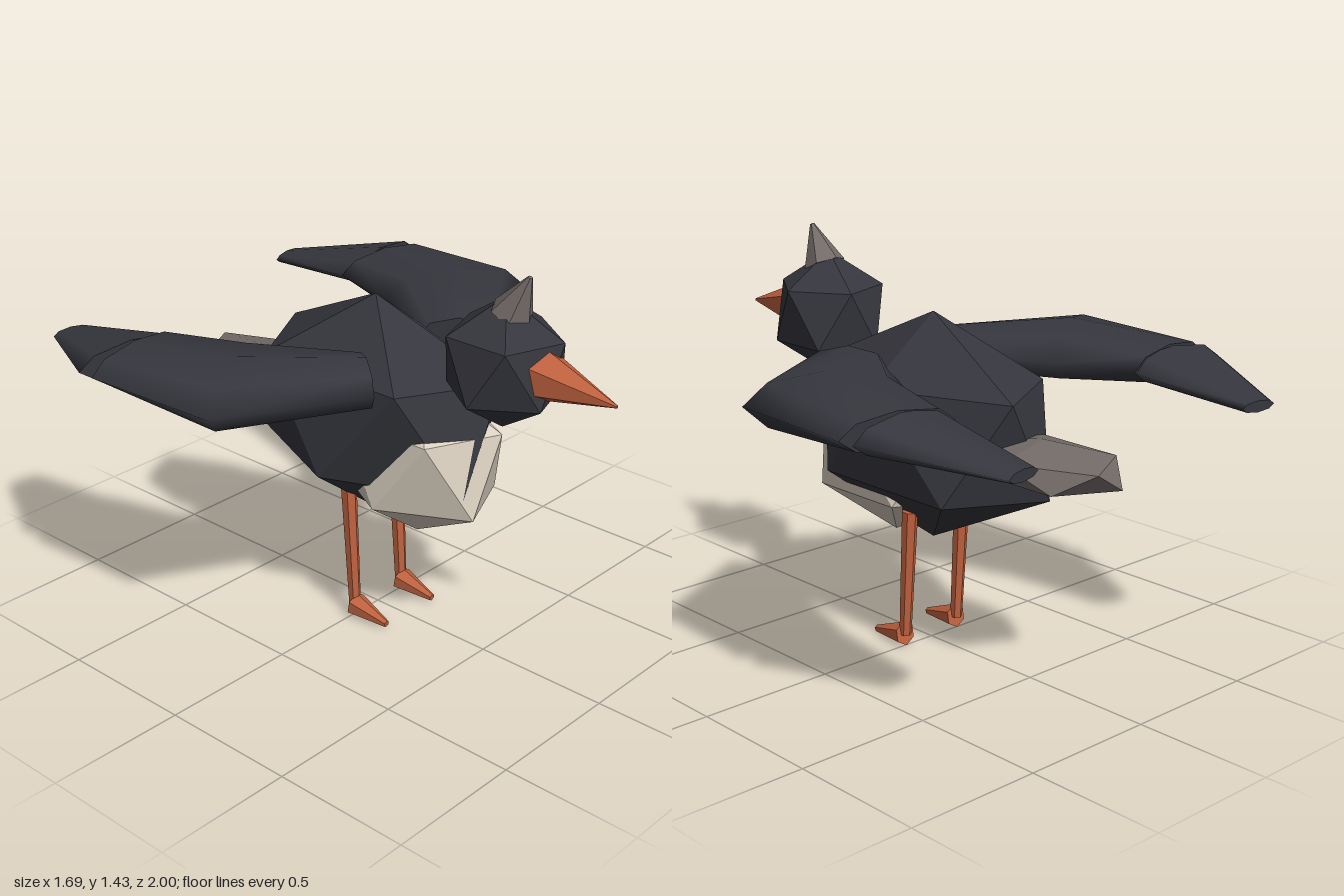
import * as THREE from 'three';
import { ConvexGeometry } from 'three/addons/geometries/ConvexGeometry.js';

const V = (x, y, z) => new THREE.Vector3(x, y, z);

function material(name, color) {
  const m = new THREE.MeshStandardMaterial({ color });
  m.name = name;
  return m;
}

function flat(geometry) {
  const g = geometry.toNonIndexed();
  g.computeVertexNormals();
  return g;
}

// Twenty-sided ball standing on a corner, stretched to three radii
function facetedBall(rx, ry, rz) {
  const pts = [V(0, ry, 0), V(0, -ry, 0)];
  const h = 1 / Math.sqrt(5), r = 2 * h;
  for (let k = 0; k < 5; k++) {
    const a = k * Math.PI * 2 / 5, b = a + Math.PI / 5;
    pts.push(V(r * rx * Math.cos(a), h * ry, r * rz * Math.sin(a)));
    pts.push(V(r * rx * Math.cos(b), -h * ry, r * rz * Math.sin(b)));
  }
  return new ConvexGeometry(pts);
}

// Six-sided tapered rod from a to b
function rod(a, ra, b, rb) {
  const dir = b.clone().sub(a);
  const g = flat(new THREE.CylinderGeometry(rb, ra, dir.length(), 6));
  g.applyQuaternion(new THREE.Quaternion().setFromUnitVectors(V(0, 1, 0), dir.normalize()));
  const mid = a.clone().add(b).multiplyScalar(0.5);
  return g.translate(mid.x, mid.y, mid.z);
}

// Smooth eight-sided loft with end caps; a section is
// [inner x, inner z, outer x, outer z, centre y, half height]
function wingLoft(sections, side) {
  const n = 8, pos = [], idx = [];
  const ring = ([x0, z0, x1, z1, y, h]) => {
    for (let i = 0; i < n; i++) {
      const a = i / n * Math.PI * 2, t = (1 + Math.cos(a)) / 2;
      pos.push(side * (x0 + (x1 - x0) * t), y + h * Math.sin(a), z0 + (z1 - z0) * t);
    }
  };
  // The mirrored wing needs the opposite corner order
  const tri = (a, b, c) => (side > 0 ? idx.push(a, b, c) : idx.push(a, c, b));
  sections.forEach(ring);
  for (let s = 0; s < sections.length - 1; s++) {
    for (let i = 0; i < n; i++) {
      const a = s * n + i, b = s * n + (i + 1) % n;
      tri(a, a + n, b);
      tri(b, a + n, b + n);
    }
  }
  // Caps get their own corners so the rims stay sharp
  const first = pos.length / 3;
  ring(sections[0]);
  ring(sections[sections.length - 1]);
  for (let i = 1; i < n - 1; i++) {
    tri(first, first + i, first + i + 1);
    tri(first + n, first + n + i + 1, first + n + i);
  }
  const g = new THREE.BufferGeometry();
  g.setAttribute('position', new THREE.Float32BufferAttribute(pos, 3));
  g.setIndex(idx);
  g.computeVertexNormals();
  return g;
}

export function createModel() {
  const dark = material('dark plumage', 0x36373e);
  const cream = material('cream breast', 0xd9cfc0);
  const grey = material('grey feathers', 0x736b68);
  const orange = material('orange beak and legs', 0xc0623f);

  const bird = new THREE.Group();
  bird.name = 'bird';
  const add = (name, geometry, mat, x = 0, y = 0, z = 0) => {
    const mesh = new THREE.Mesh(geometry, mat);
    mesh.name = name;
    mesh.position.set(x, y, z);
    bird.add(mesh);
  };

  // Body, breast, head and tail
  add('body', facetedBall(0.33, 0.41, 0.565), dark, 0, 0.8, -0.01);
  add('breast', facetedBall(0.263, 0.307, 0.364), cream, 0, 0.675, 0.188);
  add('head', facetedBall(0.213, 0.23, 0.23), dark, 0, 1.115, 0.553);
  add('tail', facetedBall(0.213, 0.083, 0.353), grey, 0, 0.783, -0.54);

  // Beak and crest
  add('beak', rod(V(0, 1.118, 0.68), 0.1, V(0, 1.092, 0.998), 0.005), orange);
  add('crest', rod(V(0, 1.29, 0.577), 0.076, V(0, 1.43, 0.645), 0.008), grey);

  for (const side of [1, -1]) {
    const label = side > 0 ? 'left' : 'right';

    // Legs and feet
    const x = side * 0.125;
    add(label + 'Leg', rod(V(x, 0.515, -0.025), 0.029, V(x, 0.045, 0.002), 0.022), orange);
    add(label + 'Foot', rod(V(x, 0.045, 0.004), 0.044, V(x, 0.019, 0.155), 0.013), orange);

    // Wing bent at the elbow, with a separate tapered tip
    add(label + 'Wing', wingLoft([
      [0.15, 0.05, 0.325, 0.28, 1.015, 0.08],
      [0.335, -0.27, 0.81, 0.01, 1.015, 0.105],
      [0.42, -0.565, 0.845, -0.51, 1.02, 0.062],
    ], side), dark);
    add(label + 'WingTip', wingLoft([
      [0.425, -0.53, 0.845, -0.575, 1.02, 0.06],
      [0.48, -0.98, 0.62, -1.0, 0.965, 0.02],
    ], side), dark);
  }
  return bird;
}
